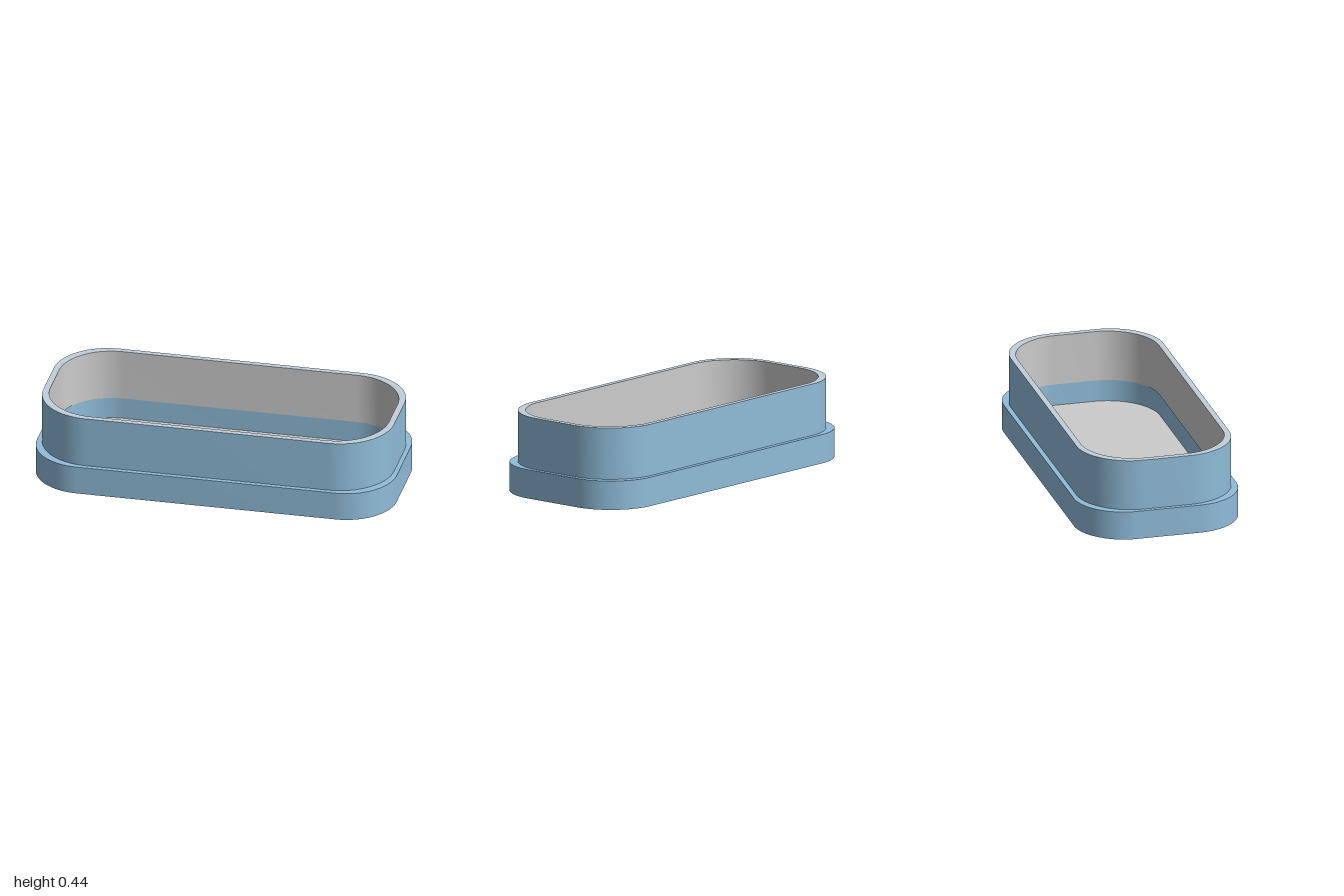
import * as THREE from 'three';
import { toCreasedNormals } from 'three/addons/utils/BufferGeometryUtils.js';

const blue = new THREE.MeshStandardMaterial({ color: 0x8fbcd9 });
const pale = new THREE.MeshStandardMaterial({ color: 0xc0d0da });
const grey = new THREE.MeshStandardMaterial({ color: 0xcccccc });

// Rounded rectangle with half sizes a (x) and b (z) and corner radius r
function outline([a, b, r], Type = THREE.Shape) {
  const s = new Type();
  s.absarc(a - r, b - r, r, 0, Math.PI / 2);
  s.absarc(-a + r, b - r, r, Math.PI / 2, Math.PI);
  s.absarc(-a + r, -b + r, r, Math.PI, Math.PI * 1.5);
  s.absarc(a - r, -b + r, r, Math.PI * 1.5, Math.PI * 2);
  s.closePath();
  return s;
}

// Upright slab or ring between two heights; materials are [caps, sides]
function slab(name, outer, inner, y0, y1, materials) {
  const shape = outline(outer);
  if (inner) shape.holes.push(outline(inner, THREE.Path));
  let geo = new THREE.ExtrudeGeometry(shape, {
    depth: y1 - y0, bevelEnabled: false, curveSegments: 16,
  });
  geo.rotateX(-Math.PI / 2);
  geo.translate(0, y0, 0);
  geo = toCreasedNormals(geo, Math.PI / 6);
  const mesh = new THREE.Mesh(geo, materials);
  mesh.name = name;
  return mesh;
}

export function createModel() {
  const group = new THREE.Group();
  group.name = 'openTray';

  const base = [1, 0.457, 0.28];
  const collar = [0.975, 0.43, 0.3];
  const cavity = [0.946, 0.403, 0.295];
  const lining = [0.941, 0.398, 0.29];

  // Wide foot and narrower collar, open through the middle
  group.add(slab('baseRing', base, cavity, 0, 0.16, [blue, blue]));
  group.add(slab('collar', collar, cavity, 0.16, 0.445, [pale, blue]));

  // Thin lining of the collar
  group.add(slab('collarLining', cavity, lining, 0.16, 0.445, [grey, grey]));

  // Floor, set slightly above the underside of the foot
  group.add(slab('floorUnderside', cavity, null, 0.02, 0.03, [blue, blue]));
  group.add(slab('floorTop', cavity, null, 0.03, 0.037, [grey, grey]));

  return group;
}
